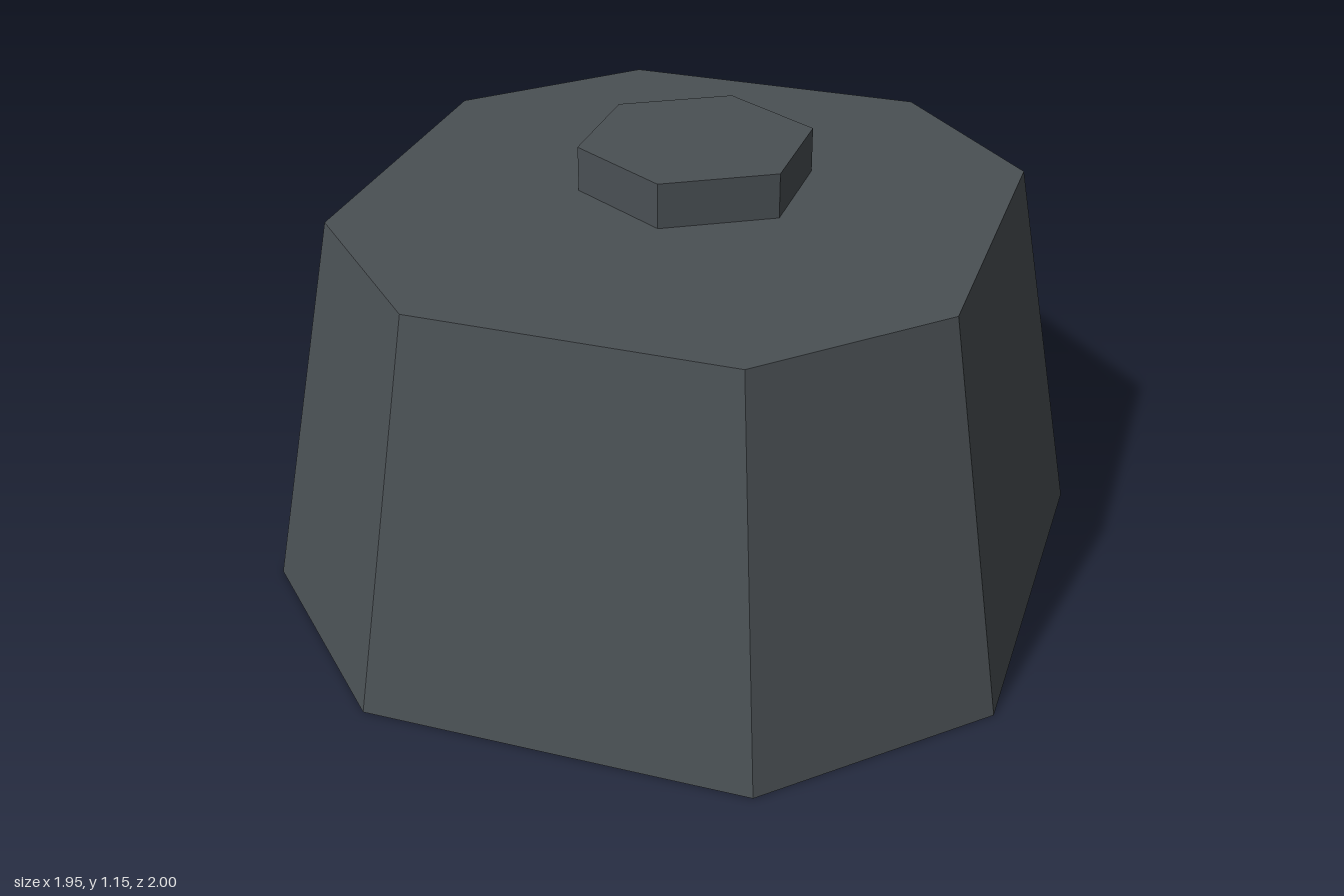
import * as THREE from 'three';

const BODY_HEIGHT = 1.03;
const TOP_SCALE = 0.82;

// Tapered body: an octagon with cut corners, extruded upward and narrowed at the top
function bodyGeometry() {
  const outline = new THREE.Shape([
    [0.5, -1], [0.975, -0.525], [0.975, 0.525], [0.5, 1],
    [-0.5, 1], [-0.975, 0.525], [-0.975, -0.525], [-0.5, -1],
  ].map(([x, y]) => new THREE.Vector2(x, y)));
  const geometry = new THREE.ExtrudeGeometry(outline, { depth: BODY_HEIGHT, bevelEnabled: false });
  geometry.rotateX(-Math.PI / 2);
  const pos = geometry.attributes.position;
  for (let i = 0; i < pos.count; i++) {
    const s = THREE.MathUtils.lerp(1, TOP_SCALE, pos.getY(i) / BODY_HEIGHT);
    pos.setX(i, pos.getX(i) * s);
    pos.setZ(i, pos.getZ(i) * s);
  }
  geometry.computeVertexNormals();
  return geometry;
}

export function createModel() {
  const group = new THREE.Group();
  const material = new THREE.MeshStandardMaterial({ color: 0x4a5054, flatShading: true });

  const body = new THREE.Mesh(bodyGeometry(), material);
  body.name = 'taperedBody';
  group.add(body);

  // Low hexagonal cap, set slightly towards the back
  const capHeight = 0.12;
  const cap = new THREE.Mesh(new THREE.CylinderGeometry(0.31, 0.31, capHeight, 6), material);
  cap.name = 'hexagonalCap';
  cap.position.set(0, BODY_HEIGHT + capHeight / 2, -0.105);
  group.add(cap);

  return group;
}
